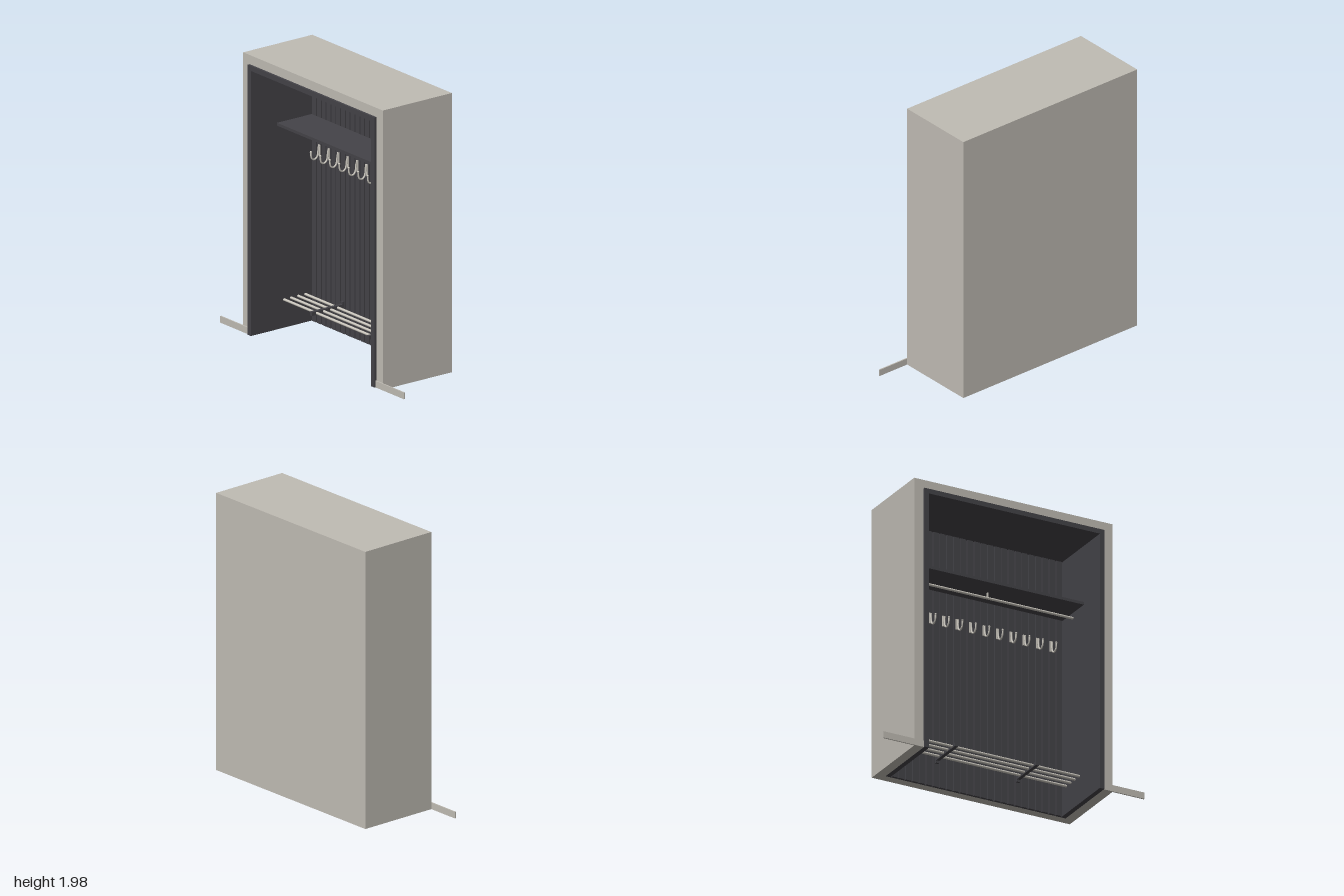
import * as THREE from 'three';

export function createModel() {
  const model = new THREE.Group();
  const material = (name, color) => {
    const m = new THREE.MeshStandardMaterial({ color });
    m.name = name;
    return m;
  };
  const plaster = material('warm grey plaster', 0xc0bcb4);
  const panel = material('charcoal panel', 0x444348);
  const metal = material('brushed metal', 0xcac6bd);

  const add = (name, geometry, mat, parent = model) => {
    const mesh = new THREE.Mesh(geometry, mat);
    mesh.name = name;
    parent.add(mesh);
    return mesh;
  };
  // Box given by its limits on each axis
  const box = (name, mat, [x0, x1], [y0, y1], [z0, z1], parent) => {
    const mesh = add(name, new THREE.BoxGeometry(x1 - x0, y1 - y0, z1 - z0), mat, parent);
    mesh.position.set((x0 + x1) / 2, (y0 + y1) / 2, (z0 + z1) / 2);
    return mesh;
  };
  // Round bar spanning the niche
  const bar = (name, y, z, radius) => {
    const mesh = add(name, new THREE.CylinderGeometry(radius, radius, 1.31, 12).rotateZ(Math.PI / 2), metal);
    mesh.position.set(0, y, z);
  };
  // Arch outline: open at the floor
  const arch = (outer, outerTop, inner, innerTop, z0, z1) => {
    const points = [[-outer, 0], [-outer, outerTop], [outer, outerTop], [outer, 0],
      [inner, 0], [inner, innerTop], [-inner, innerTop], [-inner, 0]];
    const shape = new THREE.Shape(points.map(p => new THREE.Vector2(...p)));
    return new THREE.ExtrudeGeometry(shape, { depth: z1 - z0, bevelEnabled: false }).translate(0, 0, z0);
  };

  // Wall niche and its dark lining
  add('wallSurround', arch(0.76, 1.98, 0.69, 1.915, -0.235, 0.285), plaster);
  box('wallBack', plaster, [-0.76, 0.76], [0, 1.98], [-0.302, -0.235]);
  add('nicheLining', arch(0.69, 1.915, 0.655, 1.88, -0.235, 0.302), panel);
  box('backPanel', panel, [-0.655, 0.655], [0, 1.88], [-0.235, -0.227]);

  // Vertical slats with narrow grooves between them
  const slats = new THREE.Group();
  slats.name = 'backSlats';
  model.add(slats);
  const pitch = 1.31 / 25;
  for (let i = 0; i < 25; i++) {
    const x = (i - 12) * pitch;
    box('slat', panel, [x - 0.021, x + 0.021], [0, 1.88], [-0.227, -0.215], slats);
  }

  // Baseboards running out on both sides
  for (const s of [-1, 1]) {
    box('baseboard', plaster, s < 0 ? [-1, -0.69] : [0.69, 1], [0, 0.047], [0.285, 0.294]);
  }

  // Shelf with a hanging rail below it
  box('shelf', panel, [-0.655, 0.655], [1.445, 1.465], [-0.215, 0.08]);
  bar('hangingRail', 1.405, -0.07, 0.009);
  box('railHanger', metal, [-0.005, 0.005], [1.405, 1.445], [-0.076, -0.064]);

  // Row of coat hooks: back plate and a J-shaped arm
  const v = (y, z) => new THREE.Vector3(0, y, z);
  const hookPath = new THREE.CatmullRomCurve3([
    v(1.262, -0.203), v(1.225, -0.2), v(1.192, -0.192), v(1.177, -0.172),
    v(1.184, -0.15), v(1.205, -0.141), v(1.232, -0.139)]);
  const armGeometry = new THREE.TubeGeometry(hookPath, 24, 0.006, 8);
  for (let i = 0; i < 12; i++) {
    const hook = new THREE.Group();
    hook.name = 'coatHook';
    hook.position.x = (i - 5.5) * 0.103;
    model.add(hook);
    box('hookPlate', metal, [-0.01, 0.01], [1.195, 1.272], [-0.215, -0.207], hook);
    add('hookArm', armGeometry, metal, hook);
    const tip = add('hookTip', new THREE.SphereGeometry(0.008, 10, 8), metal, hook);
    tip.position.set(0, 1.234, -0.139);
  }

  // Shoe rack: four bars on two brackets
  for (let i = 0; i < 4; i++) bar('shoeBar', 0.2, 0.02 - i * 0.06, 0.009);
  for (const x of [-0.31, 0.31]) {
    box('shoeBracket', panel, [x - 0.012, x + 0.012], [0.187, 0.214], [-0.215, 0.06]);
    box('shoeBracketMount', panel, [x - 0.012, x + 0.012], [0.17, 0.232], [-0.215, -0.2]);
  }

  return model;
}
